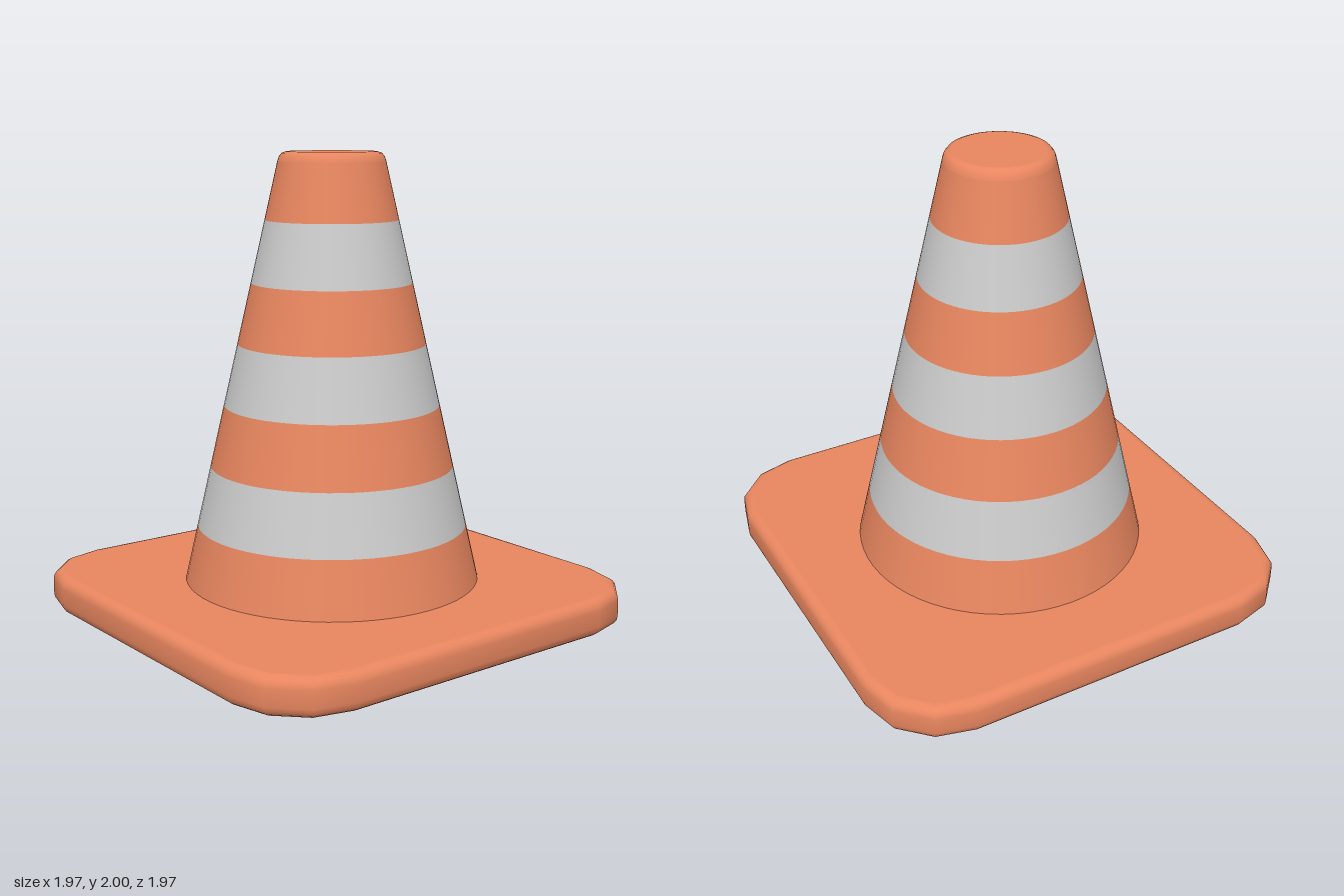
import * as THREE from 'three';
import { toCreasedNormals } from 'three/addons/utils/BufferGeometryUtils.js';

const orange = new THREE.MeshStandardMaterial({ color: 0xe8865f });
const grey = new THREE.MeshStandardMaterial({ color: 0xcccccc });

const BASE_TOP = 0.16;
const coneRadius = (y) => 0.64 - 0.2285 * (y - BASE_TOP);

// Square slab with faceted corners and rounded edges
function createBase() {
  const corner = [[0.985, 0.645], [0.94, 0.815], [0.815, 0.94], [0.645, 0.985]];
  const points = [];
  for (let i = 0; i < 4; i++) {
    for (const [x, y] of corner) {
      points.push(new THREE.Vector2(x, y).rotateAround(new THREE.Vector2(), i * Math.PI / 2));
    }
  }
  const bevel = 0.045;
  const extruded = new THREE.ExtrudeGeometry(new THREE.Shape(points), {
    depth: BASE_TOP - 2 * bevel,
    bevelThickness: bevel,
    bevelSize: bevel,
    bevelOffset: -bevel,
    bevelSegments: 4,
  });
  extruded.rotateX(-Math.PI / 2).translate(0, bevel, 0);
  const geometry = toCreasedNormals(extruded, 0.65);

  // Keep the top and bottom faces evenly flat
  const pos = geometry.attributes.position;
  const normal = geometry.attributes.normal;
  for (let i = 0; i < pos.count; i += 3) {
    const y = pos.getY(i);
    if (Math.abs(y - pos.getY(i + 1)) < 1e-5 && Math.abs(y - pos.getY(i + 2)) < 1e-5) {
      for (let j = i; j < i + 3; j++) normal.setXYZ(j, 0, y > BASE_TOP / 2 ? 1 : -1, 0);
    }
  }
  const base = new THREE.Mesh(geometry, orange);
  base.name = 'base';
  return base;
}

function lathe(name, profile, material) {
  const points = profile.map(([r, y]) => new THREE.Vector2(r, y));
  const mesh = new THREE.Mesh(new THREE.LatheGeometry(points, 64), material);
  mesh.name = name;
  return mesh;
}

export function createModel() {
  const group = new THREE.Group();
  group.name = 'trafficCone';
  group.add(createBase());

  // Alternating bands up the cone
  const levels = [BASE_TOP, 0.4, 0.66, 0.925, 1.19, 1.45, 1.715, 1.96];
  for (let i = 0; i < levels.length - 1; i++) {
    const [low, high] = [levels[i], levels[i + 1]];
    const striped = i % 2 === 1;
    group.add(lathe(
      striped ? 'reflectiveStripe' : 'coneBand',
      [[coneRadius(low), low], [coneRadius(high), high]],
      striped ? grey : orange,
    ));
  }

  // Rounded rim and closed tip
  const r = coneRadius(1.96);
  group.add(lathe('tipRim', [[r, 1.96], [r - 0.006, 1.978], [r - 0.018, 1.993], [r - 0.037, 2]], orange));
  const tip = new THREE.Mesh(new THREE.CircleGeometry(r - 0.037, 64), orange);
  tip.rotation.x = -Math.PI / 2;
  tip.position.y = 2;
  tip.name = 'tip';
  group.add(tip);

  return group;
}
